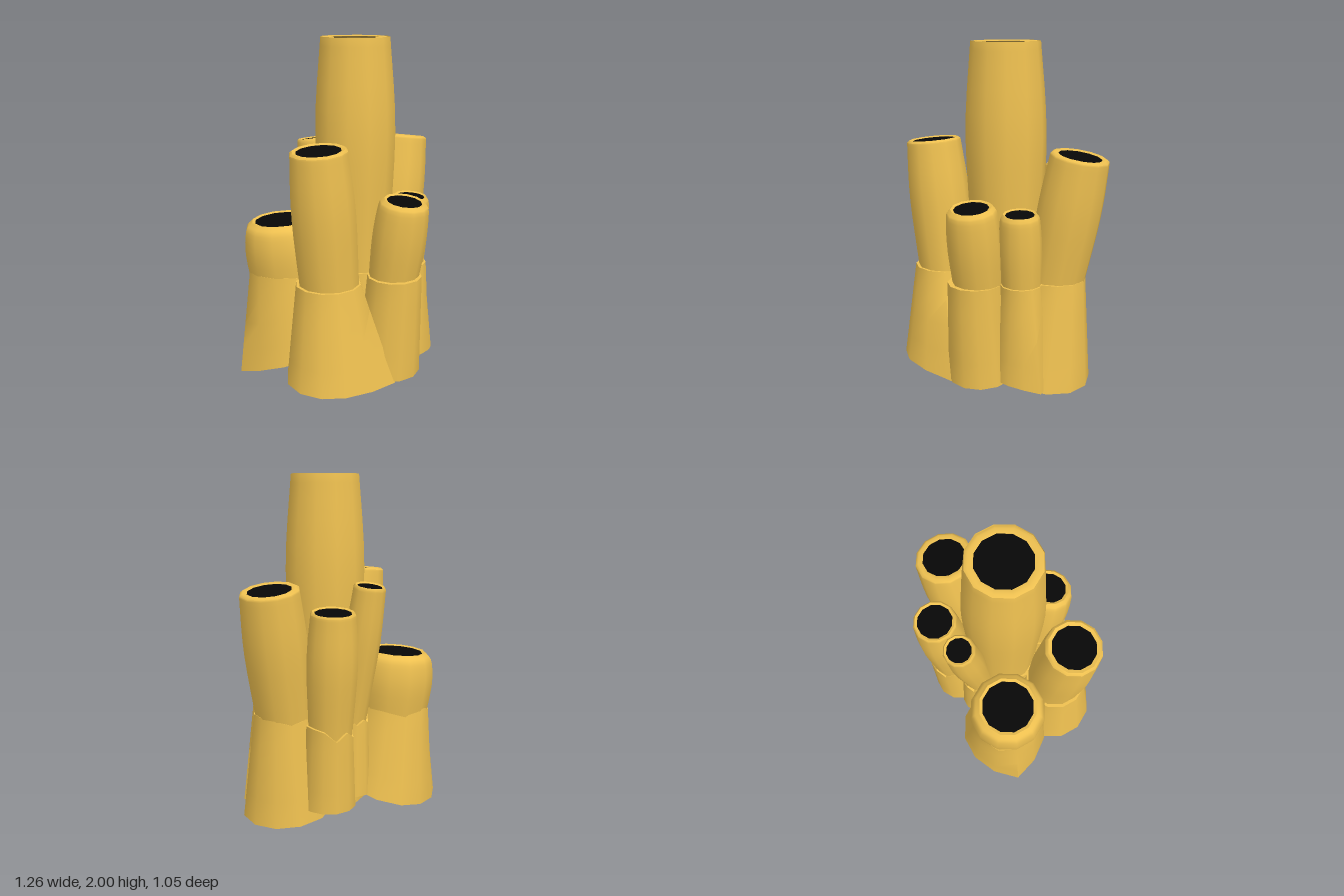
import * as THREE from 'three';
import { toCreasedNormals } from 'three/addons/utils/BufferGeometryUtils.js';

const SIDES = 12;
const CREASE = 0.85;
const RIM_Y = 0.645;

const skin = new THREE.MeshStandardMaterial({ color: 0xeec050, side: THREE.DoubleSide });
const dark = new THREE.MeshStandardMaterial({ color: 0x070707 });

// low, mid, shoulder and rim radii; from and to are the axis ends (mouth centre at the top)
function makeTube(name, { from, to, low, mid, rim, hole, shoulder = rim * 1.03 }) {
  const group = new THREE.Group();
  group.name = name;
  const a = new THREE.Vector3(...from), b = new THREE.Vector3(...to);
  const axis = b.clone().sub(a), len = axis.length();

  // bulging wall, smoothed between the radii
  const curve = new THREE.SplineCurve([
    new THREE.Vector2(low * 0.94, 0),
    new THREE.Vector2(low, len * 0.28),
    new THREE.Vector2(mid, len * 0.68),
    new THREE.Vector2(shoulder, len - 0.05),
    new THREE.Vector2(rim, len - 0.008),
  ]);
  const profile = curve.getPoints(16);
  // rounded lip turning in to the mouth
  profile.push(new THREE.Vector2(rim * 0.6 + hole * 0.4, len + 0.002));
  profile.push(new THREE.Vector2(hole, len - 0.004));
  profile.push(new THREE.Vector2(hole, len - 0.02));
  const wall = new THREE.Mesh(
    toCreasedNormals(new THREE.LatheGeometry(profile, SIDES), CREASE), skin);
  wall.name = name + 'Wall';

  const mouth = new THREE.Mesh(new THREE.CircleGeometry(hole, SIDES), dark);
  mouth.name = name + 'Mouth';
  mouth.rotation.x = -Math.PI / 2;
  mouth.position.y = len - 0.005;

  group.add(wall, mouth);
  group.position.copy(a);
  group.quaternion.setFromUnitVectors(new THREE.Vector3(0, 1, 0), axis.normalize());
  return group;
}

// Flared open skirt: level top ring (ragged at the back if asked),
// bottom ring that may slope and have one corner pushed out
function makeSkirt(name, { top, topR, base, baseR, slope = [0, 0], corner, topY = RIM_Y, ragged = 0 }) {
  const geo = new THREE.CylinderGeometry(1, 1, 1, SIDES, 5, true);
  const pos = geo.attributes.position;
  for (let i = 0; i < pos.count; i++) {
    const x = pos.getX(i), z = pos.getZ(i), v = pos.getY(i) + 0.5;
    const closing = v > 0.9;               // last row folds inward as a ledge
    const t = Math.min(1, v / 0.8);
    const r = closing ? topR * 0.8 : THREE.MathUtils.lerp(baseR, topR, t);
    let px = THREE.MathUtils.lerp(base[0], top[0], t) + x * r;
    let pz = THREE.MathUtils.lerp(base[2], top[1], t) + z * r;
    const notch = (i % (SIDES + 1)) % 2 ? 1 : 0.3;
    const high = topY - ragged * notch * Math.max(0, -z);
    const low = Math.max(0, base[1] + (x * slope[0] + z * slope[1]) * baseR);
    let py = THREE.MathUtils.lerp(low, high, t);
    if (corner) {
      const facing = x * corner.dir[0] + z * corner.dir[1];
      const pull = Math.max(0, (facing - 0.8) / 0.2) * (1 - t);
      px += corner.push[0] * pull;
      pz += corner.push[1] * pull;
      py -= Math.min(py, 0.03 * pull);
    }
    pos.setXYZ(i, px, py, pz);
  }
  const mesh = new THREE.Mesh(toCreasedNormals(geo, CREASE), skin);
  mesh.name = name;
  return mesh;
}

const pipes = {
  centre: {
    tube: { from: [0, 0.3, 0.01], to: [-0.005, 1.998, 0.015], low: 0.21, mid: 0.238, rim: 0.2, hole: 0.153 },
    skirt: { top: [0, 0.01], topR: 0.22, base: [0, 0.04, 0.02], baseR: 0.26 },
  },
  right: {
    tube: { from: [-0.33, 0.3, 0.12], to: [-0.443, 1.42, 0.122], low: 0.172, mid: 0.183, rim: 0.16, hole: 0.127 },
    skirt: {
      top: [-0.37, 0.12], topR: 0.188, base: [-0.37, 0.06, 0.135], baseR: 0.262, slope: [0, -0.01],
      corner: { dir: [0.5, 0.866], push: [0.1, 0.07] },
    },
  },
  left: {
    tube: { from: [0.28, 0.3, 0.03], to: [0.465, 1.375, -0.005], low: 0.168, mid: 0.186, rim: 0.168, hole: 0.127 },
    skirt: {
      top: [0.335, 0.025], topR: 0.178, base: [0.28, 0.035, 0.05], baseR: 0.275, slope: [-0.12, 0],
      ragged: 0.04,
    },
  },
  front: {
    tube: {
      from: [-0.02, 0.3, 0.27], to: [-0.018, 1.1, 0.39],
      low: 0.14, mid: 0.156, shoulder: 0.146, rim: 0.128, hole: 0.102,
    },
    skirt: { top: [-0.03, 0.335], topR: 0.16, base: [-0.025, 0.045, 0.285], baseR: 0.195, slope: [0, -0.05] },
  },
  frontSmall: {
    tube: {
      from: [0.21, 0.3, 0.2], to: [0.222, 1.065, 0.262],
      low: 0.112, mid: 0.123, shoulder: 0.115, rim: 0.103, hole: 0.084,
    },
    skirt: {
      top: [0.22, 0.24], topR: 0.12, base: [0.21, 0.06, 0.2], baseR: 0.175,
      corner: { dir: [0.866, 0.5], push: [0.035, 0.035] },
    },
  },
  backBarrel: {
    tube: {
      from: [-0.31, 0.35, -0.25], to: [-0.342, 0.945, -0.277],
      low: 0.208, mid: 0.232, shoulder: 0.217, rim: 0.185, hole: 0.156,
    },
    skirt: {
      top: [-0.33, -0.26], topR: 0.22, base: [-0.28, 0.1, -0.24], baseR: 0.285, slope: [0.12, 0.25],
      ragged: 0.07, corner: { dir: [-0.866, -0.5], push: [-0.06, -0.025] },
    },
  },
  backSmall: {
    tube: { from: [0, 0.35, -0.17], to: [-0.008, 1.38, -0.33], low: 0.09, mid: 0.105, rim: 0.092, hole: 0.072 },
    skirt: { top: [0, -0.21], topR: 0.098, base: [0, 0.12, -0.21], baseR: 0.115, topY: 0.6, ragged: 0.05 },
  },
  backLeft: {
    tube: { from: [0.2, 0.3, -0.21], to: [0.252, 1.255, -0.285], low: 0.13, mid: 0.148, rim: 0.128, hole: 0.105 },
    skirt: { top: [0.225, -0.235], topR: 0.138, base: [0.205, 0.1, -0.21], baseR: 0.16, topY: 0.6, ragged: 0.08 },
  },
};

export function createModel() {
  const model = new THREE.Group();
  model.name = 'pipeCluster';
  for (const [key, { tube, skirt }] of Object.entries(pipes)) {
    model.add(makeTube(key + 'Tube', tube), makeSkirt(key + 'Skirt', skirt));
  }
  return model;
}
